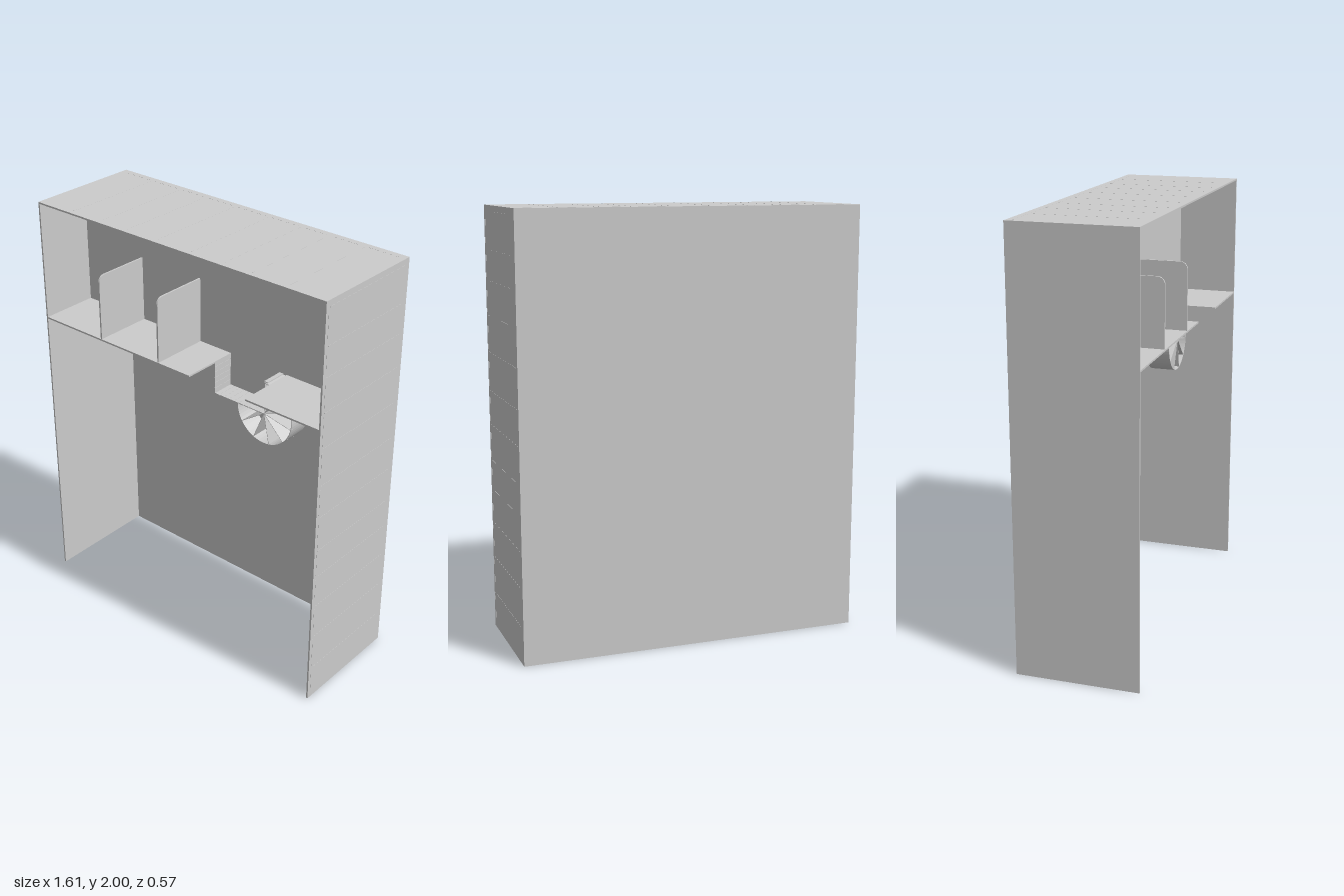
import * as THREE from 'three';

export function createModel() {
  const model = new THREE.Group();
  const mat = new THREE.MeshStandardMaterial({ color: 0xcccccc, flatShading: true });

  const W = 0.805, D = 0.283, H = 2, T = 0.008; // half width, half depth, height, board
  const shelfY = 1.43, stepZ = 0.107;           // shelf top, ledge depth
  const hub = { x: 0.375, y: 1.27 }, R = 0.152; // round bay

  function add(name, geometry, parent = model) {
    const mesh = new THREE.Mesh(geometry, mat);
    mesh.name = name;
    parent.add(mesh);
    return mesh;
  }
  // Box given by its lower and upper limits on each axis
  function box(name, x0, x1, y0, y1, z0, z1, parent) {
    const mesh = add(name, new THREE.BoxGeometry(x1 - x0, y1 - y0, z1 - z0), parent);
    mesh.position.set((x0 + x1) / 2, (y0 + y1) / 2, (z0 + z1) / 2);
    return mesh;
  }
  const extrude = (shape, depth) =>
    new THREE.ExtrudeGeometry(shape, { depth, bevelEnabled: false, curveSegments: 24 });

  // Outer shell, open at the front and bottom
  box('backPanel', -W, W, 0, H, -D, -D + T);
  box('leftSide', W - T, W, 0, H - T, -D + T, D);
  box('rightSide', -W, -W + T, 0, H - T, -D + T, D);
  box('topPanel', -W, W, H - T, H, -D + T, D);

  // Inner wall: its lower edge steps down and wraps round the bay
  const wall = new THREE.Shape();
  wall.moveTo(-W + T, shelfY - T);
  wall.lineTo(0.09, shelfY - T);
  wall.lineTo(0.09, hub.y);
  wall.lineTo(hub.x - R, hub.y);
  wall.absarc(hub.x, hub.y, R, Math.PI, Math.PI * 2.5, false);
  wall.lineTo(hub.x + 0.02, shelfY - 0.004);
  wall.lineTo(W - T, shelfY - 0.004);
  wall.lineTo(W - T, H - T);
  wall.lineTo(-W + T, H - T);
  add('innerWall', extrude(wall, T)).position.z = -T;

  // Shelves on either side of the stepped gap
  box('longShelf', -W + T, 0.095, shelfY - T, shelfY, 0, D);
  box('shortShelf', 0.41, W - T, shelfY - T, shelfY, 0, D);

  // Upright dividers with a rounded upper front corner
  const divider = new THREE.Shape();
  const h = 0.31, d = D - 0.003, r = 0.035;
  divider.moveTo(0, 0);
  divider.lineTo(d, 0);
  divider.lineTo(d, h - r);
  divider.absarc(d - r, h - r, r, 0, Math.PI / 2, false);
  divider.lineTo(0, h);
  for (const x of [-0.443, -0.09]) {
    const mesh = add('divider', extrude(divider, T));
    mesh.rotation.y = -Math.PI / 2;
    mesh.position.set(x + T / 2, shelfY, 0);
  }

  // Narrow stepped ledge made of slats
  const ledge = new THREE.Group();
  ledge.name = 'steppedLedge';
  model.add(ledge);
  const drop = (shelfY - hub.y) / 6, run = (hub.x - 0.09) / 10;
  for (let i = 0; i < 6; i++)
    box('uprightSlat', 0.09, 0.094, hub.y + i * drop, hub.y + (i + 1) * drop - 0.001, 0, stepZ, ledge);
  for (let i = 0; i < 10; i++)
    box('levelSlat', 0.09 + i * run, 0.09 + (i + 1) * run - 0.001, hub.y - 0.004, hub.y, 0, stepZ, ledge);
  box('topSlat', 0.372, 0.392, shelfY - 0.004, shelfY, 0, stepZ, ledge);

  // Round bay: three-quarter rim with thin radial blades
  const bay = new THREE.Group();
  bay.name = 'roundBay';
  bay.position.set(hub.x, hub.y, 0);
  model.add(bay);
  const rim = new THREE.Shape();
  rim.absarc(0, 0, R, -Math.PI, Math.PI / 2, false);
  rim.absarc(0, 0, R - 0.003, Math.PI / 2, -Math.PI, true);
  add('rim', extrude(rim, stepZ), bay);
  for (let i = 1; i <= 8; i++) {
    const a = -Math.PI + i * Math.PI * 1.5 / 8;
    const blade = add('blade', new THREE.BoxGeometry(R, 0.002, stepZ), bay);
    blade.position.set(Math.cos(a) * R / 2, Math.sin(a) * R / 2, stepZ / 2);
    blade.rotation.z = a;
  }

  // Hairline seams on the left side: cross lines and a dashed front line
  const seams = new THREE.Group();
  seams.name = 'seams';
  model.add(seams);
  const e = 0.0008, w = 0.002;
  const rows = [0.17, 0.35, 0.52, 0.68, 0.82, 0.99, 1.15, 1.33, 1.5, 1.66, 1.8, 1.97];
  rows.forEach((y, i) => {
    box('sideSeam', W - e, W + e, y - w, y + w, -0.25, 0.26, seams);
    const below = i ? rows[i - 1] : 0.01;
    box('sideDash', W - e, W + e, below + 0.015, y - 0.015, 0.262, 0.266, seams);
  });

  // Matching seams on the top, dashed along the back
  const columns = [-0.605, -0.43, -0.275, -0.1, 0.095, 0.27, 0.42, 0.605, 0.785];
  columns.forEach((x, i) => {
    if (i < 8) box('topSeam', x - w, x + w, H - e, H, -0.25, 0.255, seams).position.y = H;
    const before = i ? columns[i - 1] : -0.785;
    box('topDash', before + 0.015, x - 0.015, H - e, H, -0.257, -0.253, seams).position.y = H;
  });

  return model;
}
